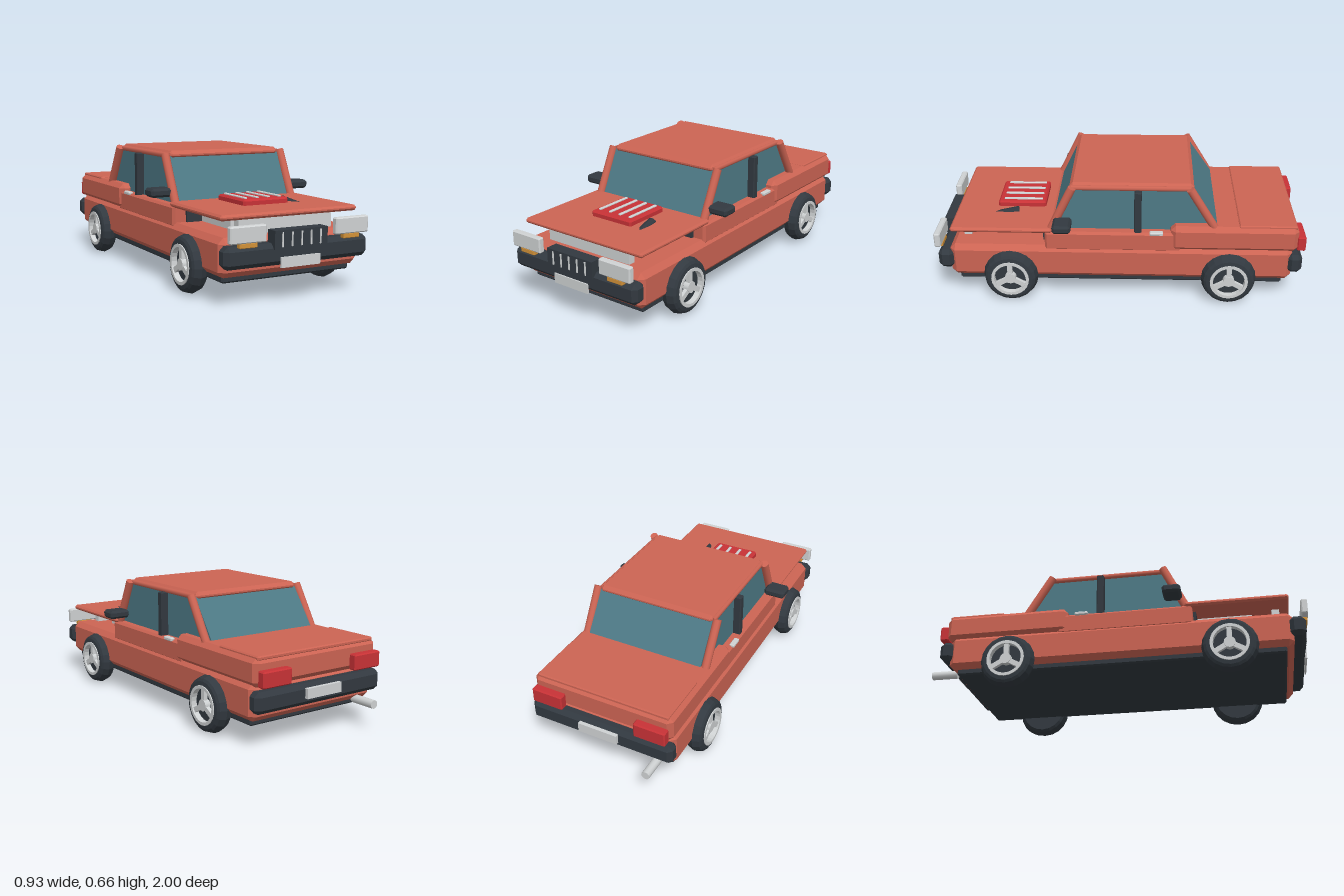
import * as THREE from 'three';
import { ConvexGeometry } from 'three/addons/geometries/ConvexGeometry.js';

const mat = (name, color, extra = {}) => {
  const m = new THREE.MeshStandardMaterial({ color, ...extra });
  m.name = name;
  return m;
};

export function createModel() {
  const car = new THREE.Group();
  car.name = 'car';
  const paint = mat('coral paint', 0xcc6453);
  const dark = mat('dark trim', 0x323940);
  const glass = mat('teal glass', 0x4e7a86);
  const silver = mat('silver', 0xcfd2d3);
  const red = mat('signal red', 0xc83236);
  const amber = mat('amber', 0xd29239);

  const add = (name, geo, m, parent = car) => {
    const mesh = new THREE.Mesh(geo, m);
    mesh.name = name;
    parent.add(mesh);
    return mesh;
  };

  // box from min/max ranges with all edges chamfered by c
  const block = (name, m, [x0, x1], [y0, y1], [z0, z1], c = 0, parent = car) => {
    const h = [(x1 - x0) / 2, (y1 - y0) / 2, (z1 - z0) / 2];
    let geo;
    if (c === 0) geo = new THREE.BoxGeometry(h[0] * 2, h[1] * 2, h[2] * 2);
    else {
      const pts = [];
      for (const sx of [-1, 1]) for (const sy of [-1, 1]) for (const sz of [-1, 1])
        for (let k = 0; k < 3; k++) {
          const d = h.map((v, i) => (i === k ? v : v - c));
          pts.push(new THREE.Vector3(sx * d[0], sy * d[1], sz * d[2]));
        }
      geo = new ConvexGeometry(pts);
    }
    geo.translate((x0 + x1) / 2, (y0 + y1) / 2, (z0 + z1) / 2);
    return add(name, geo, m, parent);
  };

  // round bar between two points
  const bar = (name, m, a, b, r, sides = 10, parent = car) => {
    const p = new THREE.Vector3(...a), q = new THREE.Vector3(...b);
    const dir = q.clone().sub(p);
    const mesh = add(name, new THREE.CylinderGeometry(r, r, dir.length(), sides), m, parent);
    mesh.position.copy(p).add(q).multiplyScalar(0.5);
    mesh.quaternion.setFromUnitVectors(new THREE.Vector3(0, 1, 0), dir.normalize());
    return mesh;
  };

  // body
  block('underbody', dark, [-0.355, 0.355], [0.1, 0.16], [-0.84, 0.88], 0.008);
  block('lowerBody', paint, [-0.385, 0.385], [0.13, 0.315], [-0.885, 0.92], 0.028);
  block('doorSection', paint, [-0.375, 0.375], [0.29, 0.4], [-0.3, 0.415], 0.012);
  block('rearBody', paint, [-0.385, 0.385], [0.3, 0.44], [-0.91, -0.245], 0.025);
  block('trunkLid', paint, [-0.365, 0.365], [0.425, 0.447], [-0.9, -0.6], 0.006);
  block('hood', paint, [-0.378, 0.378], [0.392, 0.419], [0.375, 0.91], 0.01);

  // engine bay
  block('engine', silver, [-0.22, 0.22], [0.3, 0.395], [0.42, 0.72]);
  block('radiator', silver, [-0.26, 0.26], [0.3, 0.393], [0.82, 0.86]);
  block('firewall', dark, [-0.305, 0.305], [0.3, 0.395], [0.41, 0.43]);
  bar('intakeHose', dark, [0.165, 0.413, 0.57], [0.2, 0.38, 0.78], 0.026, 8);

  // hood scoop
  block('hoodScoop', red, [-0.13, 0.127], [0.41, 0.448], [0.43, 0.69], 0.009);
  for (const x of [-0.1, -0.034, 0.03, 0.094])
    block('scoopRib', silver, [x - 0.008, x + 0.008], [0.44, 0.455], [0.45, 0.66], 0.003);

  // cabin glass: side profile extruded across the car
  const profile = new THREE.Shape([[0.385, 0.395], [0.27, 0.635], [-0.35, 0.635], [-0.5, 0.42], [-0.48, 0.395]]
    .map(([z, y]) => new THREE.Vector2(z, y)));
  const cabin = new THREE.ExtrudeGeometry(profile, { depth: 0.65, bevelEnabled: false });
  cabin.rotateY(-Math.PI / 2).translate(0.325, 0, 0);
  add('cabinGlass', cabin, glass);
  block('roof', paint, [-0.328, 0.328], [0.618, 0.662], [-0.36, 0.28], 0.018);

  // parts mirrored on both sides
  for (const s of [-1, 1]) {
    const span = (a, b) => (s > 0 ? [a, b] : [-b, -a]);
    bar('frontPillar', paint, [s * 0.346, 0.4, 0.385], [s * 0.346, 0.645, 0.265], 0.022);
    bar('rearPillar', paint, [s * 0.346, 0.645, -0.34], [s * 0.346, 0.415, -0.48], 0.022);
    bar('roofRail', paint, [s * 0.325, 0.638, 0.27], [s * 0.325, 0.638, -0.345], 0.014, 8);
    block('centerPillar', dark, span(0.32, 0.365), [0.39, 0.63], [-0.092, -0.054], 0.005);
    block('doorHandle', silver, span(0.355, 0.383), [0.39, 0.408], [-0.205, -0.135], 0.004);
    block('mirror', dark, span(0.35, 0.467), [0.438, 0.483], [0.27, 0.365], 0.012);
    block('headlight', silver, span(0.19, 0.38), [0.3, 0.38], [0.965, 0.998], 0.006);
    block('turnSignal', amber, span(0.237, 0.33), [0.278, 0.302], [0.965, 0.994], 0.003);
    block('tailLight', red, span(0.2, 0.37), [0.305, 0.385], [-0.95, -0.905], 0.006);
  }

  // bumpers, grille and plates
  block('frontBumper', dark, [-0.395, 0.395], [0.18, 0.285], [0.9, 0.982], 0.022);
  block('rearBumper', dark, [-0.395, 0.395], [0.18, 0.285], [-0.937, -0.86], 0.022);
  block('grille', dark, [-0.145, 0.145], [0.258, 0.345], [0.93, 0.992]);
  for (let i = -2; i <= 2; i++)
    block('grilleBar', silver, [i * 0.052 - 0.0035, i * 0.052 + 0.0035], [0.268, 0.336], [0.99, 0.997]);
  block('frontPlate', silver, [-0.108, 0.108], [0.17, 0.22], [0.98, 0.989]);
  block('rearPlate', silver, [-0.108, 0.108], [0.218, 0.268], [-0.955, -0.935]);
  bar('exhaust', silver, [-0.29, 0.133, -0.86], [-0.29, 0.133, -1], 0.022, 12);

  // wheels, built along y and turned so +y points outwards
  const tyreShape = [[0.09, -0.045], [0.12, -0.045], [0.133, -0.034], [0.145, 0],
    [0.133, 0.034], [0.12, 0.042], [0.1, 0.045], [0.088, 0.035], [0.088, 0.015], [0, 0.015]];
  const tyre = new THREE.LatheGeometry(
    [[0, -0.045], ...tyreShape].map(([r, y]) => new THREE.Vector2(r, y)), 20)
    .toNonIndexed();
  tyre.computeVertexNormals();
  const ring = new THREE.LatheGeometry([[0.084, 0.02], [0.1, 0.02], [0.1, 0.05], [0.084, 0.05], [0.084, 0.02]]
    .map(([r, y]) => new THREE.Vector2(r, y)), 24).toNonIndexed();
  ring.computeVertexNormals();
  for (const s of [-1, 1]) for (const z of [0.6, -0.555]) {
    const wheel = new THREE.Group();
    wheel.name = 'wheel';
    add('tyre', tyre, dark, wheel);
    add('rim', ring, silver, wheel);
    const hub = add('hub', new THREE.CylinderGeometry(0.03, 0.03, 0.033, 12), silver, wheel);
    hub.position.y = 0.029;
    // three spokes, the first one pointing up
    for (let i = 0; i < 3; i++) {
      const a = (i * 2 * Math.PI) / 3;
      const spoke = add('spoke', new THREE.BoxGeometry(0.085, 0.02, 0.026), silver, wheel);
      spoke.position.set(-s * -Math.cos(a) * 0.046 * -1, 0.032, Math.sin(a) * 0.046);
      spoke.rotation.y = Math.atan2(-spoke.position.z, spoke.position.x);
    }
    wheel.rotation.z = -s * Math.PI / 2;
    wheel.position.set(s * 0.385, 0.145, z);
    car.add(wheel);
  }
  return car;
}
